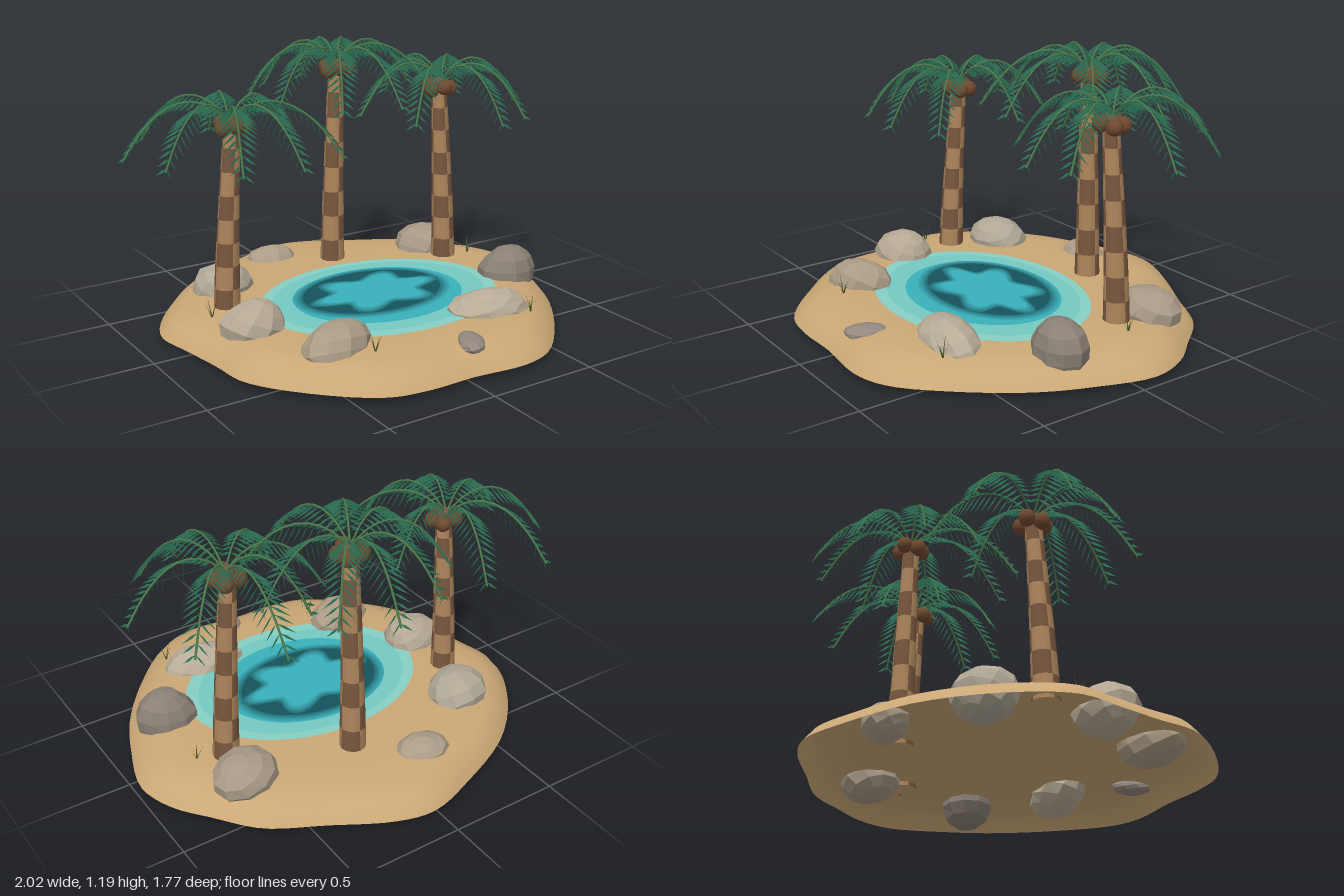
import * as THREE from 'three';
import { mergeGeometries, toCreasedNormals } from 'three/addons/utils/BufferGeometryUtils.js';

const V = (x, y, z) => new THREE.Vector3(x, y, z);
const mat = (color, opts = {}) => new THREE.MeshStandardMaterial({ color, ...opts });

const sand = mat(0xcaa775, { side: THREE.DoubleSide });
const barkLight = mat(0xae865c);
const barkDark = mat(0x7a583f);
const nutBrown = mat(0x70492f);
const stemGreen = mat(0x4d8050);
const leafGreen = mat(0x2f775a, { side: THREE.DoubleSide });
const grassGreen = mat(0x4c5a30, { side: THREE.DoubleSide });

function add(parent, name, geometry, material) {
  const mesh = new THREE.Mesh(geometry, material);
  mesh.name = name;
  parent.add(mesh);
  return mesh;
}

// Loose triangles, flat normals
function triangles(points) {
  const g = new THREE.BufferGeometry().setFromPoints(points);
  g.computeVertexNormals();
  return g;
}

// Sand island: a shell, open below, from a wavy outline scaled along a low profile
function buildIsland(parent) {
  const outline = [
    [0.03, -0.88], [-0.2, -0.81], [-0.53, -0.65], [-0.77, -0.41], [-0.885, -0.18], [-0.855, 0.02],
    [-0.82, 0.22], [-0.795, 0.4], [-0.66, 0.6], [-0.4, 0.825], [-0.22, 0.865], [0, 0.865],
    [0.26, 0.885], [0.42, 0.835], [0.63, 0.635], [0.81, 0.39], [0.905, 0.18], [0.98, -0.08],
    [0.93, -0.26], [0.82, -0.41], [0.68, -0.58], [0.45, -0.71], [0.2, -0.845],
  ];
  const rim = new THREE.CatmullRomCurve3(outline.map(([x, z]) => V(x, 0, z)), true).getPoints(96);
  const profile = [[1, 0.03], [0.95, 0.085], [0.88, 0.112], [0.79, 0.126], [0.6, 0.128], [0, 0.128]];
  const pts = [];
  for (let i = 0; i < profile.length - 1; i++) {
    for (let j = 0; j < rim.length - 1; j++) {
      const at = (k, [s, y]) => V(rim[k].x * s, y, rim[k].z * s);
      const a = at(j, profile[i]), b = at(j + 1, profile[i]);
      const c = at(j + 1, profile[i + 1]), d = at(j, profile[i + 1]);
      pts.push(a, b, c);
      if (profile[i + 1][0] > 0) pts.push(a, c, d);
    }
  }
  add(parent, 'sandIsland', toCreasedNormals(triangles(pts), 0.8), sand);
}

// Flat water layer: an ellipse with optional lobes
function waterLayer(parent, name, x, z, rx, rz, y, color, lobe = 0) {
  const pts = [];
  for (let i = 0; i < 72; i++) {
    const a = (i / 72) * Math.PI * 2;
    const k = 1 + lobe * Math.cos(6 * a);
    pts.push(new THREE.Vector2(x + rx * k * Math.cos(a), -(z + rz * k * Math.sin(a))));
  }
  const g = new THREE.ShapeGeometry(new THREE.Shape(pts)).rotateX(-Math.PI / 2).translate(0, y, 0);
  add(parent, name, g, mat(color));
}

function buildPool(parent) {
  const pool = new THREE.Group();
  pool.name = 'pool';
  waterLayer(pool, 'shoreWater', 0.045, 0.122, 0.565, 0.437, 0.130, 0x86cfc4);
  waterLayer(pool, 'shallowWater', 0.045, 0.117, 0.51, 0.39, 0.131, 0x74c8c2);
  waterLayer(pool, 'middleWater', 0.045, 0.11, 0.40, 0.32, 0.132, 0x38b0ba);
  // Soft steps down to the dark ring, then up to the lobed clear centre
  const clear = new THREE.Color(0x38b0bc), dark = new THREE.Color(0x14525a);
  const steps = 5;
  for (let i = 1; i <= steps; i++) {
    const t = i / steps;
    waterLayer(pool, 'deepWater', 0.035, 0.075, 0.395 - 0.06 * t, 0.29 - 0.05 * t, 0.132 + 0.0008 * i, clear.clone().lerp(dark, t));
  }
  for (let i = 1; i <= steps; i++) {
    const t = i / steps;
    waterLayer(pool, 'clearWater', 0.045, 0.085, 0.30 - 0.07 * t, 0.205 - 0.055 * t, 0.136 + 0.0008 * i, dark.clone().lerp(clear, t), 0.2);
  }
  parent.add(pool);
}

// Faceted boulder, pushed in and out by a smooth rule
function buildRock(parent, [x, z, rx, rz, bottom, top, turn, color], i) {
  const g = new THREE.SphereGeometry(1, 10, 7);
  g.rotateX(i === 5 ? 0 : 0.5).rotateY(i * 1.3);
  const p = g.attributes.position;
  const v = V(0, 0, 0);
  for (let k = 0; k < p.count; k++) {
    v.fromBufferAttribute(p, k);
    const n = Math.sin(3.1 * v.x + i) * Math.cos(2.7 * v.z - i) + Math.sin(4 * v.y + 2 * v.x + 2 * i);
    v.multiplyScalar(1 + 0.04 * n);
    p.setXYZ(k, v.x, v.y, v.z);
  }
  g.scale(rx, (top - bottom) / 2, rz).rotateY(turn).translate(x, (top + bottom) / 2, z);
  g.computeVertexNormals();
  add(parent, 'rock', g, mat(color, { flatShading: true }));
}

// Leaning trunk of stacked bands, each split into quarters of alternating bark
function buildTrunk(palm, base, top) {
  const parts = [[], []];
  const bands = 8;
  const height = top.y - base.y;
  const radius = t => 0.059 - 0.023 * t;
  for (let b = 0; b < bands; b++) {
    const t0 = b / bands, t1 = (b + 1) / bands;
    for (let q = 0; q < 4; q++) {
      const g = new THREE.CylinderGeometry(radius(t1), radius(t0), height / bands, 3, 1, true, q * Math.PI / 2, Math.PI / 2);
      g.translate(0, base.y + height * (t0 + t1) / 2, 0);
      const p = g.attributes.position;
      for (let k = 0; k < p.count; k++) {
        const t = (p.getY(k) - base.y) / height;
        const lean = t * t * (1.6 - 0.6 * t) * 0.5 + t * 0.5;
        p.setX(k, p.getX(k) + base.x + (top.x - base.x) * lean);
        p.setZ(k, p.getZ(k) + base.z + (top.z - base.z) * lean);
      }
      parts[(b + q) % 2].push(g);
    }
  }
  add(palm, 'lightBark', mergeGeometries(parts[0]), barkLight);
  add(palm, 'darkBark', mergeGeometries(parts[1]), barkDark);
  add(palm, 'trunkTop', new THREE.SphereGeometry(0.037, 12, 6).translate(top.x, top.y, top.z), barkDark);
}

// Arching fronds with pairs of thin upright leaflets
function buildFronds(palm, heart, fronds) {
  const stems = [], leaves = [];
  for (const [deg, length] of fronds) {
    const a = THREE.MathUtils.degToRad(deg);
    const out = V(Math.cos(a), 0, Math.sin(a));
    const side = V(-out.z, 0, out.x);
    const spine = t => heart.clone().addScaledVector(out, length * t).add(V(0, 0.48 * t - 0.62 * t * t, 0));
    const curve = new THREE.CatmullRomCurve3([0, 0.2, 0.4, 0.6, 0.8, 1].map(spine));
    stems.push(new THREE.TubeGeometry(curve, 12, 0.005, 4));
    const count = 17;
    for (let i = 0; i < count; i++) {
      const t = 0.14 + 0.84 * i / (count - 1);
      const reach = 0.4 + 0.6 * Math.sin(Math.PI * Math.min(1, t * 0.95));
      const root = spine(t);
      for (const s of [-1, 1]) {
        const tip = root.clone().addScaledVector(side, s * 0.085 * reach).addScaledVector(out, 0.04 * reach);
        tip.y -= 0.06 * reach;
        const mid = root.clone().lerp(tip, 0.4);
        const up = mid.clone().add(V(0, 0.007, 0)), low = mid.clone().add(V(0, -0.007, 0));
        leaves.push(root, low, up, up, low, tip);
      }
    }
  }
  add(palm, 'frondStems', mergeGeometries(stems), stemGreen);
  add(palm, 'leaflets', triangles(leaves), leafGreen);
}

function buildPalm(parent, { base, top, heart, fronds }) {
  const palm = new THREE.Group();
  palm.name = 'palmTree';
  buildTrunk(palm, base, top);
  buildFronds(palm, heart, fronds);
  for (let i = 0; i < 5; i++) {
    const a = i * Math.PI * 0.4 + 0.4;
    const nut = add(palm, 'coconut', new THREE.SphereGeometry(0.037, 12, 8), nutBrown);
    nut.position.set(top.x + 0.05 * Math.cos(a), top.y - 0.018 + 0.012 * (i % 2), top.z + 0.05 * Math.sin(a));
  }
  parent.add(palm);
}

// Small tuft of thin blades
function buildGrass(parent, x, z, turn) {
  const pts = [];
  for (let i = 0; i < 4; i++) {
    const a = turn + i * Math.PI / 2;
    const c = Math.cos(a), s = Math.sin(a), r = 0.03, h = 0.07 + 0.01 * (i % 3);
    pts.push(V(x - s * 0.004, 0.12, z + c * 0.004), V(x + s * 0.004, 0.12, z - c * 0.004), V(x + c * r, 0.12 + h, z + s * r));
  }
  add(parent, 'grassTuft', triangles(pts), grassGreen);
}

export function createModel() {
  const model = new THREE.Group();
  model.name = 'oasis';
  buildIsland(model);
  buildPool(model);

  // x, z, half width, half depth, bottom, top, turn, colour
  [
    [-0.50, -0.36, 0.15, 0.13, 0.015, 0.24, 0.3, 0xb0a795],
    [-0.60, 0.13, 0.15, 0.13, 0.015, 0.245, 0.3, 0xb5a893],
    [-0.405, 0.485, 0.17, 0.118, 0.02, 0.225, 0.25, 0xab9b85],
    [0.085, 0.73, 0.06, 0.095, 0.075, 0.145, -0.5, 0x938880],
    [0.365, 0.50, 0.2, 0.118, 0.02, 0.215, -0.15, 0xb8ac97],
    [0.715, 0.20, 0.14, 0.117, 0.0, 0.26, -0.2, 0x8a8075],
    [0.62, -0.35, 0.155, 0.135, 0.02, 0.235, 0.3, 0xa89986],
    [-0.11, -0.60, 0.13, 0.095, 0.02, 0.185, -0.1, 0xac9d88],
  ].forEach((r, i) => buildRock(model, r, i));

  // Fronds are listed as heading in degrees and length
  [
    {
      base: V(-0.588, 0.11, -0.14), top: V(-0.53, 0.94, -0.155), heart: V(-0.54, 0.95, -0.16),
      fronds: [[-168, 0.46], [-120, 0.47], [-76, 0.43], [-17, 0.36], [44, 0.5], [76, 0.46], [110, 0.44], [157, 0.4]],
    },
    {
      base: V(0.13, 0.11, -0.425), top: V(0.14, 1.08, -0.40), heart: V(0.14, 1.095, -0.40),
      fronds: [[-163, 0.42], [-119, 0.4], [-82, 0.43], [-50, 0.42], [-6, 0.44], [37, 0.46], [85, 0.49], [118, 0.48], [159, 0.41]],
    },
    {
      base: V(0.62, 0.11, -0.18), top: V(0.565, 0.985, -0.165), heart: V(0.575, 1.005, -0.165),
      fronds: [[-170, 0.41], [-129, 0.36], [-88, 0.5], [-45, 0.43], [5, 0.42], [62, 0.43], [88, 0.45], [142, 0.4]],
    },
  ].forEach(p => buildPalm(model, p));

  [[-0.31, 0.62], [0.5, 0.62], [0.74, -0.14], [-0.7, -0.06]].forEach(([x, z], i) => buildGrass(model, x, z, i));
  return model;
}
